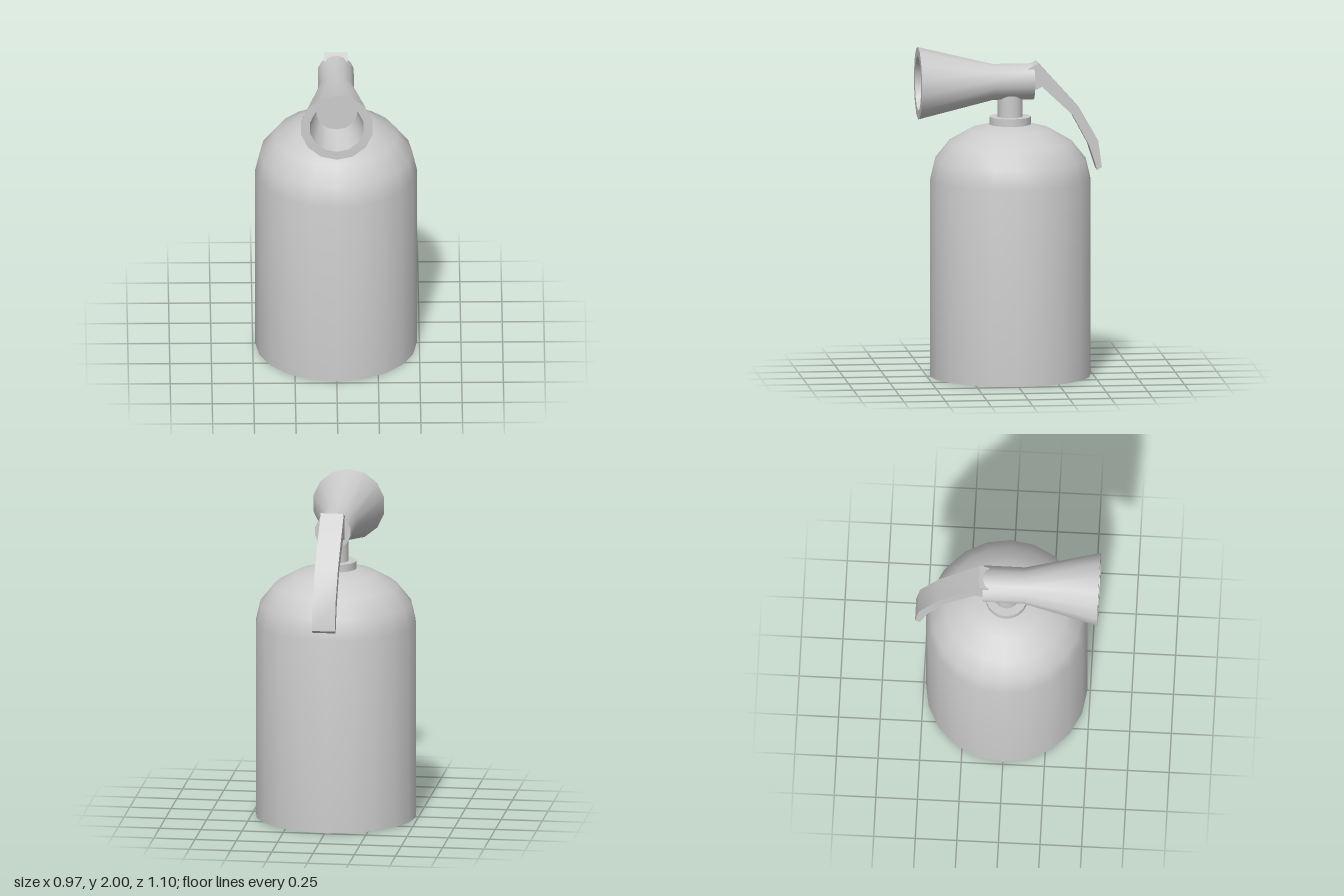
import * as THREE from 'three';
import { toCreasedNormals } from 'three/addons/utils/BufferGeometryUtils.js';

const CREASE = 0.7;
const material = new THREE.MeshStandardMaterial({ color: 0xcccccc });

function part(name, geometry) {
  const mesh = new THREE.Mesh(toCreasedNormals(geometry, CREASE), material);
  mesh.name = name;
  return mesh;
}

// Turned part from [radius, height] pairs, bottom to top
function lathe(points, sides) {
  return new THREE.LatheGeometry(points.map(([r, h]) => new THREE.Vector2(r, h)), sides);
}

export function createModel() {
  const group = new THREE.Group();
  group.name = 'fireExtinguisher';

  // Tank with a domed shoulder
  const tank = part('tank', lathe([
    [0, 0], [0.485, 0], [0.485, 1.19], [0.457, 1.31],
    [0.37, 1.42], [0.24, 1.495], [0.12, 1.525], [0, 1.525],
  ], 20));

  // Collar and the neck that carries the horn
  const collar = part('collar', lathe([[0, 1.5], [0.125, 1.5], [0.125, 1.57], [0, 1.57]], 20));
  const neck = part('neck', lathe([[0, 1.55], [0.075, 1.55], [0.075, 1.75], [0, 1.75]], 20));
  for (const mesh of [tank, collar, neck]) {
    mesh.position.z = -0.003;
    group.add(mesh);
  }

  // Horn: closed valve end, flared bell, thick rim and hollow mouth
  const hornGeometry = lathe([
    [0, -0.143], [0.11, -0.143], [0.11, 0.105], [0.22, 0.553],
    [0.165, 0.553], [0.125, 0.35], [0, 0.35],
  ], 14);
  hornGeometry.rotateX(Math.PI / 2);
  const horn = part('horn', hornGeometry);
  horn.position.y = 1.78;
  group.add(horn);

  // Curved handle: side profile as [z, y], extruded across x
  const profile = [
    [-0.108, 1.866], [-0.1, 1.71], [-0.188, 1.756], [-0.373, 1.582], [-0.473, 1.397],
    [-0.522, 1.245], [-0.55, 1.263], [-0.527, 1.425], [-0.415, 1.622], [-0.167, 1.898],
  ];
  const width = 0.14;
  const handleGeometry = new THREE.ExtrudeGeometry(
    new THREE.Shape(profile.map(([z, y]) => new THREE.Vector2(z, y))),
    { depth: width, bevelEnabled: false },
  );
  handleGeometry.translate(0, 0, -width / 2);
  handleGeometry.rotateY(-Math.PI / 2);
  group.add(part('handle', handleGeometry));

  return group;
}
